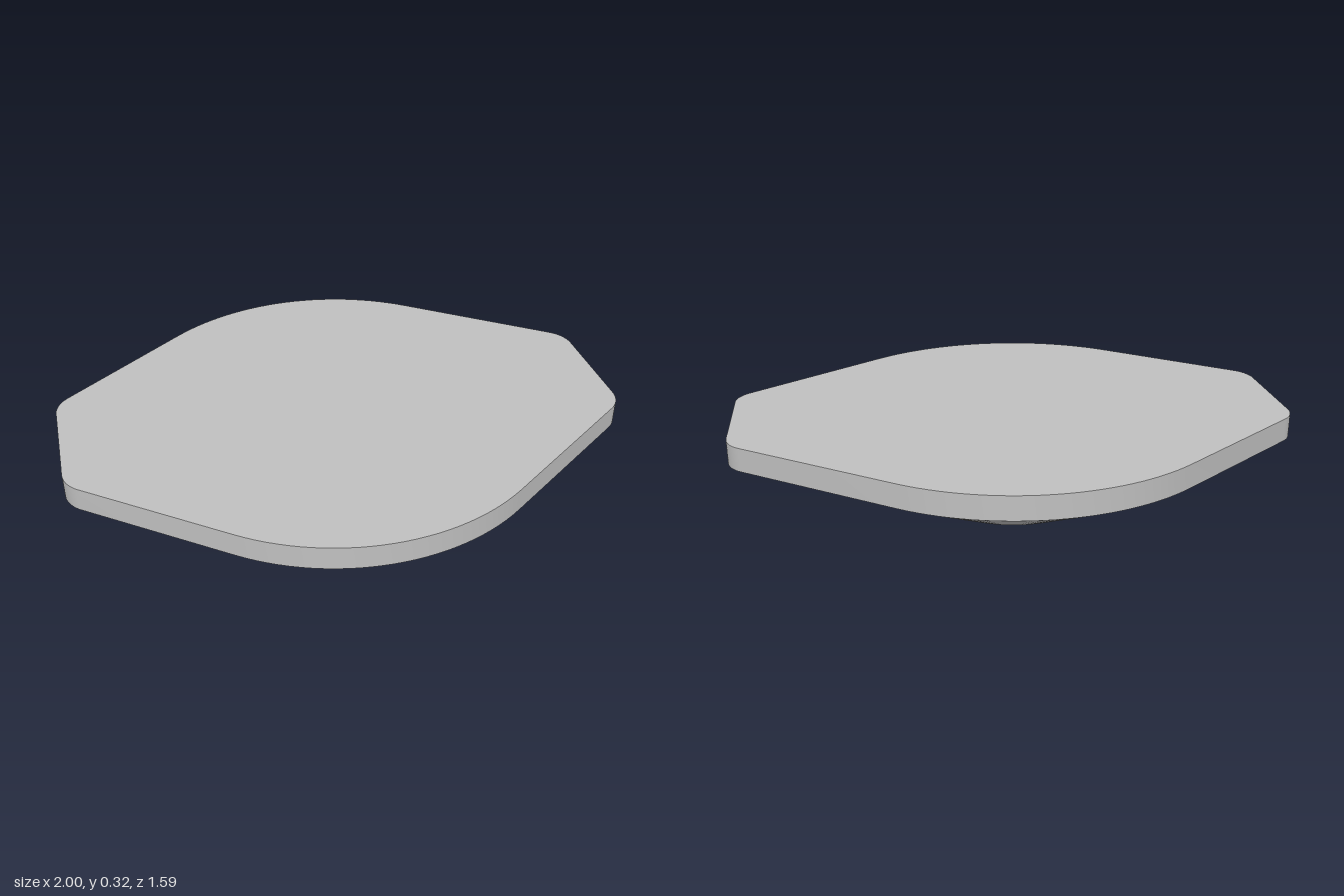
import * as THREE from 'three';
import { toCreasedNormals } from 'three/addons/utils/BufferGeometryUtils.js';

const TOP = 0.325, EDGE = 0.24, CX = -0.015;      // slab top, slab underside, hub axis
const HUB_R = 0.795, FOOT_R = 0.335;              // side bulge and foot radii
const CORNER = { x: 0.88, z: 0.185, r: 0.12 };

// Angle of the shared tangent's normal between the side bulge and a corner (z > 0)
function tangentAngle(sx) {
  const dx = sx * CORNER.x - CX, dz = CORNER.z;
  const spread = Math.acos((HUB_R - CORNER.r) / Math.hypot(dx, dz));
  return Math.atan2(dz, dx) + sx * spread;
}

// Outline and foot points, paired by the direction they face
function outline() {
  const right = tangentAngle(1), left = tangentAngle(-1), turn = 2 * Math.PI;
  const { x, z, r } = CORNER;
  const arcs = [
    [x, z, r, 0, right, 12],
    [CX, 0, HUB_R, right, left, 28],
    [-x, z, r, left, Math.PI, 12],
    [-x, -z, r, Math.PI, turn - left, 12],
    [CX, 0, HUB_R, turn - left, turn - right, 28],
    [x, -z, r, turn - right, turn, 12],
  ];
  const rim = [], foot = [];
  for (const [cx, cz, rad, a0, a1, n] of arcs) {
    for (let i = 0; i <= n; i++) {
      const a = a0 + (a1 - a0) * i / n, c = Math.cos(a), s = Math.sin(a);
      rim.push([cx + rad * c, cz + rad * s]);
      foot.push([CX + FOOT_R * c, FOOT_R * s]);
    }
  }
  return { rim, foot };
}

// Wall between an upper and a lower loop, with an optional cap on either
function loft(upper, yU, lower, yL, capTop, capBottom) {
  const pos = [];
  const p = new THREE.Vector3(), q = new THREE.Vector3();
  const tri = (a, b, c) => {
    p.subVectors(b, a);
    q.subVectors(c, a);
    if (p.cross(q).length() < 1e-8) return;       // skip collapsed triangles
    for (const v of [a, b, c]) pos.push(v.x, v.y, v.z);
  };
  const at = ([x, z], y) => new THREE.Vector3(x, y, z);
  const n = upper.length;
  for (let i = 0; i < n; i++) {
    const j = (i + 1) % n;
    const a = at(upper[i], yU), b = at(upper[j], yU);
    const c = at(lower[j], yL), d = at(lower[i], yL);
    tri(a, b, d);
    tri(b, c, d);
    if (capTop) tri(at([CX, 0], yU), b, a);
    if (capBottom) tri(at([CX, 0], yL), d, c);
  }
  const g = new THREE.BufferGeometry();
  g.setAttribute('position', new THREE.Float32BufferAttribute(pos, 3));
  return toCreasedNormals(g, 0.3);
}

export function createModel() {
  const grey = new THREE.MeshStandardMaterial({ color: 0xc0c0c0 });
  grey.name = 'light grey';
  const { rim, foot } = outline();
  const group = new THREE.Group();
  group.name = 'taperedPlate';
  const add = (name, geometry) => {
    const mesh = new THREE.Mesh(geometry, grey);
    mesh.name = name;
    group.add(mesh);
  };

  // Flat slab with a straight vertical rim
  add('topSlab', loft(rim, TOP, rim, EDGE, true, false));
  // Underside narrowing from the rim to a round foot
  add('taperedBase', loft(rim, EDGE, foot, 0, false, true));
  return group;
}
